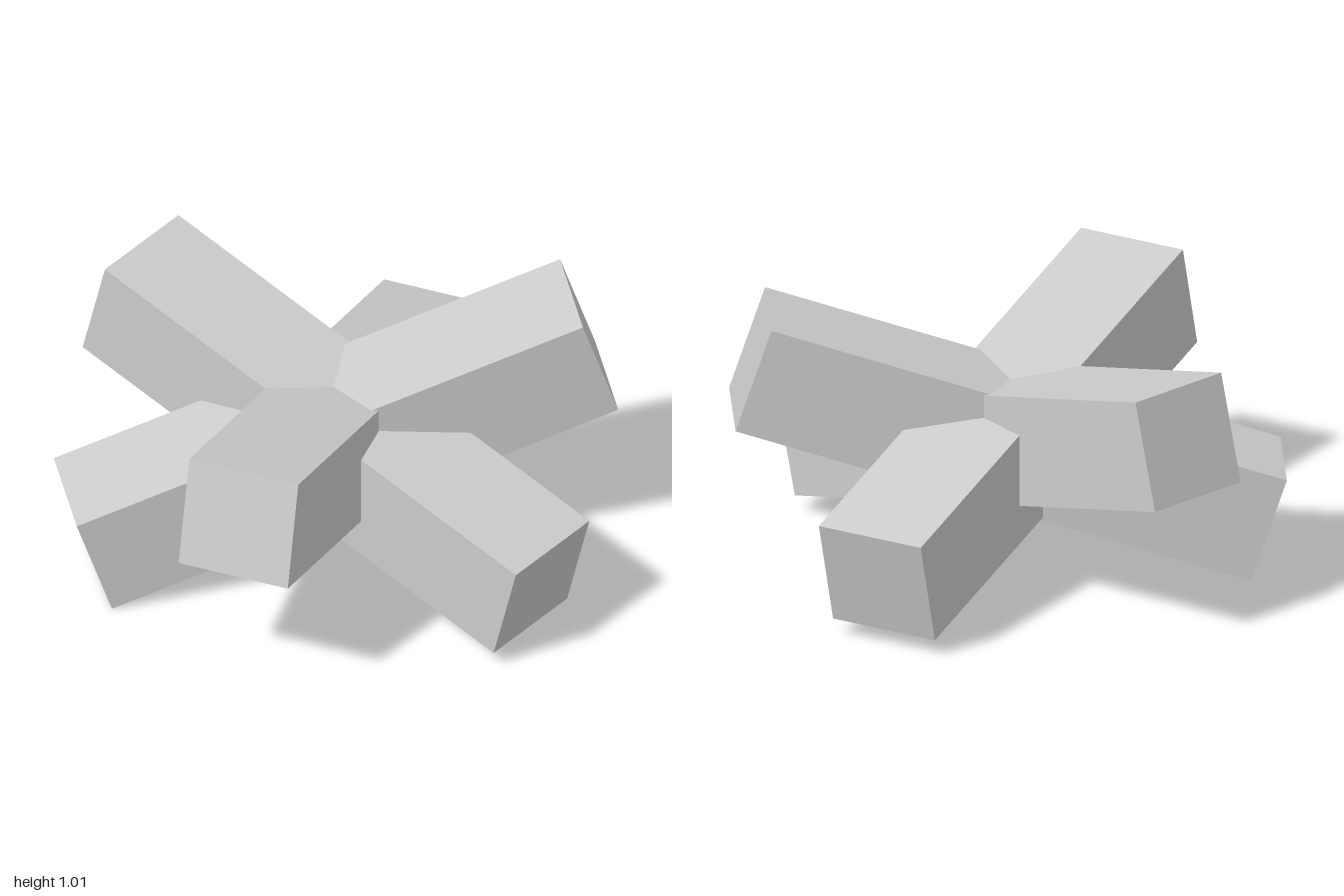
import * as THREE from 'three';

export function createModel() {
  const model = new THREE.Group();
  model.name = 'crossedBars';
  const material = new THREE.MeshStandardMaterial({ color: 0xcccccc, flatShading: true });
  const geometry = new THREE.BoxGeometry(1.97, 0.41, 0.425);

  // Three equal bars crossing at one centre: heading and upward tilt of the raised end, in degrees
  const bars = [
    ['sideBar', 0, 18.5],
    ['frontRaisedBar', -123, 14.6],
    ['backRaisedBar', 130, 14.6],
  ];
  for (const [name, heading, tilt] of bars) {
    const bar = new THREE.Mesh(geometry, material);
    bar.name = name;
    bar.position.y = 0.508;
    bar.rotation.set(0, THREE.MathUtils.degToRad(heading), THREE.MathUtils.degToRad(tilt), 'YZX');
    model.add(bar);
  }
  return model;
}
